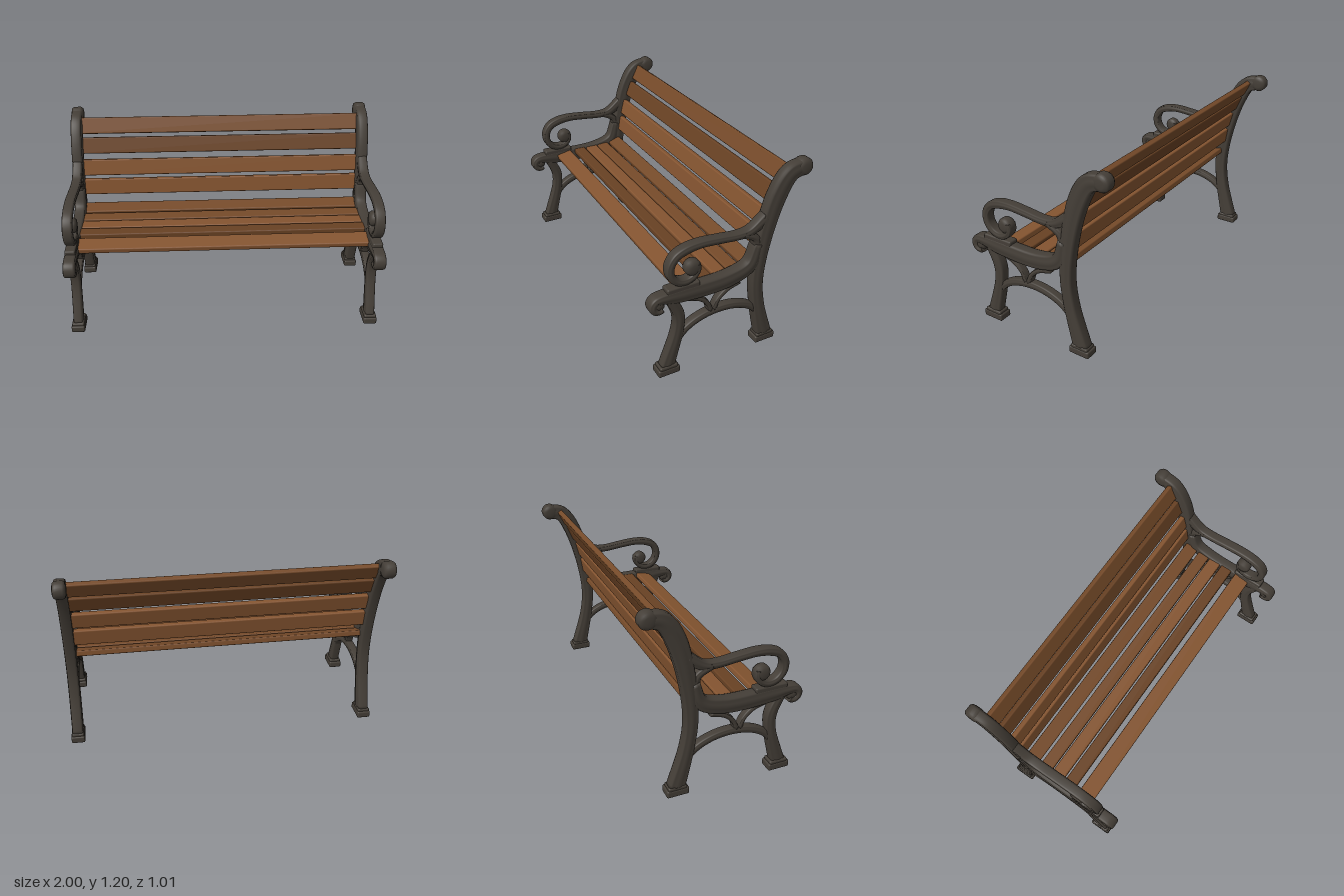
import * as THREE from 'three';
import { RoundedBoxGeometry } from 'three/addons/geometries/RoundedBoxGeometry.js';

// Cast-iron bar section [across, depth]: one quarter mirrored twice, with a raised centre rib
const QUARTER = [[1, 0], [1, 0.55], [0.9, 0.8], [0.72, 0.9], [0.5, 0.86], [0.3, 0.98], [0, 1]];
const HALF = [...QUARTER, ...QUARTER.slice(0, -1).reverse().map(([u, d]) => [-u, d])];
const SECTION = [...HALF, ...HALF.slice(1, -1).reverse().map(([u, d]) => [u, -d])];

// Scroll or arch points [z, y, width]; the radius eases from r0 to r1, angles in degrees
function arc(z, y, r0, r1, a0, a1, w0, w1, stretch = 1) {
  return Array.from({ length: 9 }, (_, i) => {
    const t = i / 8;
    const a = THREE.MathUtils.degToRad(a0 + (a1 - a0) * t);
    const r = r0 + (r1 - r0) * t * t;
    return [z + Math.cos(a) * r * stretch, y + Math.sin(a) * r, w0 + (w1 - w0) * t];
  });
}

// Sweep the bar section along [z, y, width] points in the side plane
function barGeometry(points, depth, steps) {
  const curve = new THREE.CatmullRomCurve3(points.map(([z, y, w]) => new THREE.Vector3(w, y, z)), false, 'centripetal');
  const n = SECTION.length, pos = [], idx = [];
  for (let i = 0; i <= steps; i++) {
    const p = curve.getPoint(i / steps);
    const t = curve.getTangent(i / steps).setX(0).normalize();
    for (const [u, d] of SECTION) {
      const s = (u * p.x) / 2;
      pos.push((d * depth) / 2, p.y - t.z * s, p.z + t.y * s);
    }
  }
  for (let i = 0; i < steps; i++) {
    for (let j = 0; j < n; j++) {
      const a = i * n + j, b = i * n + ((j + 1) % n);
      idx.push(a, b, a + n, b, b + n, a + n);
    }
  }
  // End caps
  for (const end of [0, 1]) {
    const p = curve.getPoint(end), c = pos.length / 3, row = end * steps * n;
    pos.push(0, p.y, p.z);
    for (let j = 0; j < n; j++) {
      const a = row + j, b = row + ((j + 1) % n);
      if (end) idx.push(c, a, b);
      else idx.push(c, b, a);
    }
  }
  const g = new THREE.BufferGeometry();
  g.setAttribute('position', new THREE.Float32BufferAttribute(pos, 3));
  g.setIndex(idx);
  g.computeVertexNormals();
  return g;
}

// Round scroll end with softened rims, axis along x
function scrollGeometry(r, depth) {
  const h = depth / 2, e = 0.014;
  const rim = [[r, h - e * 1.4], [r - e * 0.6, h - e * 0.4], [r - 2 * e, h], [0, h]];
  const profile = [...rim.map(([x, y]) => [x, -y]).reverse(), ...rim];
  return new THREE.LatheGeometry(profile.map(([x, y]) => new THREE.Vector2(x, y)), 28).rotateZ(Math.PI / 2);
}

// All iron parts of one end frame, centred on x = 0
function frameParts() {
  const parts = [];
  const bar = (name, depth, steps, points) => parts.push([name, barGeometry(points, depth, steps)]);
  const scroll = (name, z, y, r, depth) => parts.push([name, scrollGeometry(r, depth).translate(0, y, z)]);
  const block = (name, w, h, d, y, z) => parts.push([name, new RoundedBoxGeometry(w, h, d, 3, 0.01).translate(0, y, z)]);

  // Legs and back post
  bar('backPost', 0.076, 60, [[-0.28, 0.04, 0.105], [-0.215, 0.3, 0.078], [-0.195, 0.48, 0.078],
    [-0.222, 0.74, 0.094], [-0.292, 1, 0.112], [-0.365, 1.118, 0.104], [-0.45, 1.145, 0.09]]);
  scroll('backScroll', -0.45, 1.143, 0.053, 0.08);
  bar('frontLeg', 0.066, 40, [[0.388, 0.04, 0.09], [0.318, 0.3, 0.064], [0.318, 0.4, 0.066], [0.375, 0.53, 0.06]]);

  // Seat rail, curling at the front and sweeping up into the post
  bar('seatRail', 0.078, 90, [...arc(0.447, 0.507, 0.037, 0.037, -127, 80, 0.034, 0.052),
    [0.39, 0.542, 0.072], [0.3, 0.534, 0.094], [0, 0.535, 0.098], [-0.14, 0.588, 0.086], [-0.184, 0.72, 0.06]]);
  scroll('seatScroll', 0.447, 0.507, 0.04, 0.066);

  // Armrest with its spiral end and the fillet behind it
  bar('armrest', 0.066, 90, [[-0.235, 0.885, 0.075], [-0.125, 0.815, 0.052], [-0.045, 0.808, 0.042],
    [0.08, 0.82, 0.042], [0.2, 0.828, 0.044], ...arc(0.272, 0.705, 0.112, 0.06, 82, -186, 0.05, 0.036)]);
  scroll('armScroll', 0.237, 0.69, 0.049, 0.07);
  bar('armFillet', 0.066, 30, [[-0.08, 0.808, 0.04], [-0.164, 0.76, 0.045], [-0.18, 0.7, 0.055], [-0.178, 0.64, 0.06]]);
  block('armPad', 0.066, 0.04, 0.205, 0.58, 0.298);

  // Arch between the legs, and the pair of curved braces above it
  bar('legArch', 0.056, 48, arc(0.05, 0.17, 0.177, 0.177, 0, 180, 0.044, 0.044, 1.61));
  for (const s of [1, -1]) {
    bar(s > 0 ? 'frontBrace' : 'rearBrace', 0.05, 24, [[0.1 + s * 0.175, 0.495, 0.032],
      [0.1 + s * 0.09, 0.465, 0.03], [0.1 + s * 0.035, 0.415, 0.028], [0.1 + s * 0.01, 0.355, 0.034]]);
  }

  // Feet
  for (const [name, z] of [['frontFoot', 0.383], ['rearFoot', -0.277]]) {
    block(name, 0.086, 0.046, 0.138, 0.023, z);
    block(name + 'Collar', 0.078, 0.045, 0.116, 0.04, z);
  }
  return parts;
}

export function createModel() {
  const model = new THREE.Group();
  model.name = 'parkBench';

  const material = (name, color) => {
    const m = new THREE.MeshStandardMaterial({ color });
    m.name = name;
    return m;
  };
  const iron = material('darkIron', 0x443e37);
  const warm = material('warmWood', 0x845430);
  const medium = material('mediumWood', 0x754a29);
  const dark = material('darkWood', 0x684123);

  const add = (parent, name, geometry, mat) => {
    const m = new THREE.Mesh(geometry, mat);
    m.name = name;
    parent.add(m);
    return m;
  };

  // End frames on both sides
  const parts = frameParts();
  for (const s of [1, -1]) {
    const frame = new THREE.Group();
    frame.name = s > 0 ? 'leftFrame' : 'rightFrame';
    frame.position.x = s * 0.957;
    for (const [name, geometry] of parts) add(frame, name, geometry, iron);
    model.add(frame);
  }

  // Slats spanning the frames
  const slat = (name, z, y, height, depth, tilt, wood) => {
    const m = add(model, name, new RoundedBoxGeometry(1.86, height, depth, 3, 0.008), wood);
    m.position.set(0, y, z);
    m.rotation.x = tilt;
  };
  const backSlat = (i, z, y, tilt, wood) => slat('backSlat' + i, z, y, 0.108, 0.034, tilt, wood);
  backSlat(1, -0.36, 1.1, -0.46, medium);
  backSlat(2, -0.302, 0.982, -0.38, dark);
  backSlat(3, -0.25, 0.845, -0.25, warm);
  backSlat(4, -0.222, 0.715, -0.16, warm);

  const seatSlat = (i, z, y, depth, tilt, wood) => slat('seatSlat' + i, z, y, 0.037, depth, tilt, wood);
  seatSlat(1, 0.255, 0.546, 0.108, 0.2, warm);
  seatSlat(2, 0.13, 0.556, 0.08, 0, dark);
  seatSlat(3, 0.033, 0.552, 0.086, 0, warm);
  seatSlat(4, -0.06, 0.555, 0.082, 0.08, medium);
  seatSlat(5, -0.162, 0.573, 0.092, 0.28, medium);
  return model;
}
